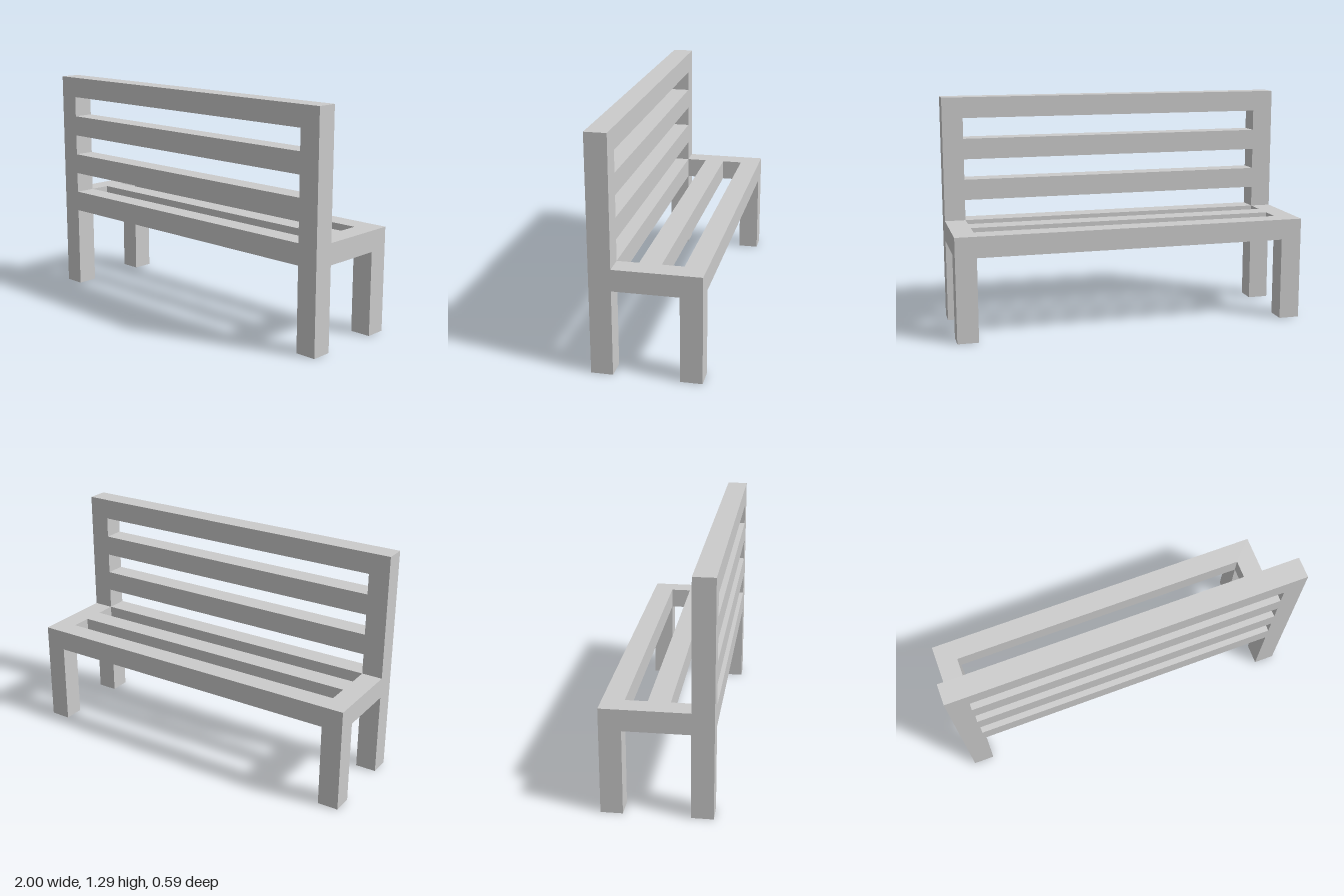
import * as THREE from 'three';

// Every bar is one unit thick; the bench is 17 units long, 11 high and 5 deep.
const U = 2 / 17;
const HALF = 8.5, INNER = 7.5;

const material = new THREE.MeshStandardMaterial({ color: 0xcccccc, flatShading: true });

const points = (list) => list.map(([x, y]) => new THREE.Vector2(x * U, y * U));

// Rectangular slot between the two end posts
const slot = (y0, y1) =>
  new THREE.Path(points([[-INNER, y0], [-INNER, y1], [INNER, y1], [INNER, y0]]));

function slab(name, outline, slots) {
  const shape = new THREE.Shape(points(outline));
  slots.forEach(([y0, y1]) => shape.holes.push(slot(y0, y1)));
  const geometry = new THREE.ExtrudeGeometry(shape, { depth: U, bevelEnabled: false });
  const mesh = new THREE.Mesh(geometry, material);
  mesh.name = name;
  return mesh;
}

export function createModel() {
  const bench = new THREE.Group();
  bench.name = 'bench';

  // Backrest with its tall posts running down to the ground
  const backrest = slab('backrest', [
    [-HALF, 0], [-INNER, 0], [-INNER, 4], [INNER, 4],
    [INNER, 0], [HALF, 0], [HALF, 11], [-HALF, 11],
  ], [[5, 6], [7, 8], [9, 10]]);
  backrest.position.z = 1.5 * U;
  bench.add(backrest);

  // Seat frame: outer rail, middle slat and end rails meeting the backrest
  const seat = slab('seat', [
    [-HALF, -2.5], [HALF, -2.5], [HALF, 1.5], [INNER, 1.5],
    [INNER, 0.5], [-INNER, 0.5], [-INNER, 1.5], [-HALF, 1.5],
  ], [[-1.5, -0.5]]);
  seat.rotation.x = Math.PI / 2;
  seat.position.y = 5 * U;
  bench.add(seat);

  // Short legs under the outer seat rail
  for (const side of [-1, 1]) {
    const leg = new THREE.Mesh(new THREE.BoxGeometry(U, 4 * U, U), material);
    leg.name = side > 0 ? 'leftSeatLeg' : 'rightSeatLeg';
    leg.position.set(side * 8 * U, 2 * U, -2 * U);
    bench.add(leg);
  }
  return bench;
}
